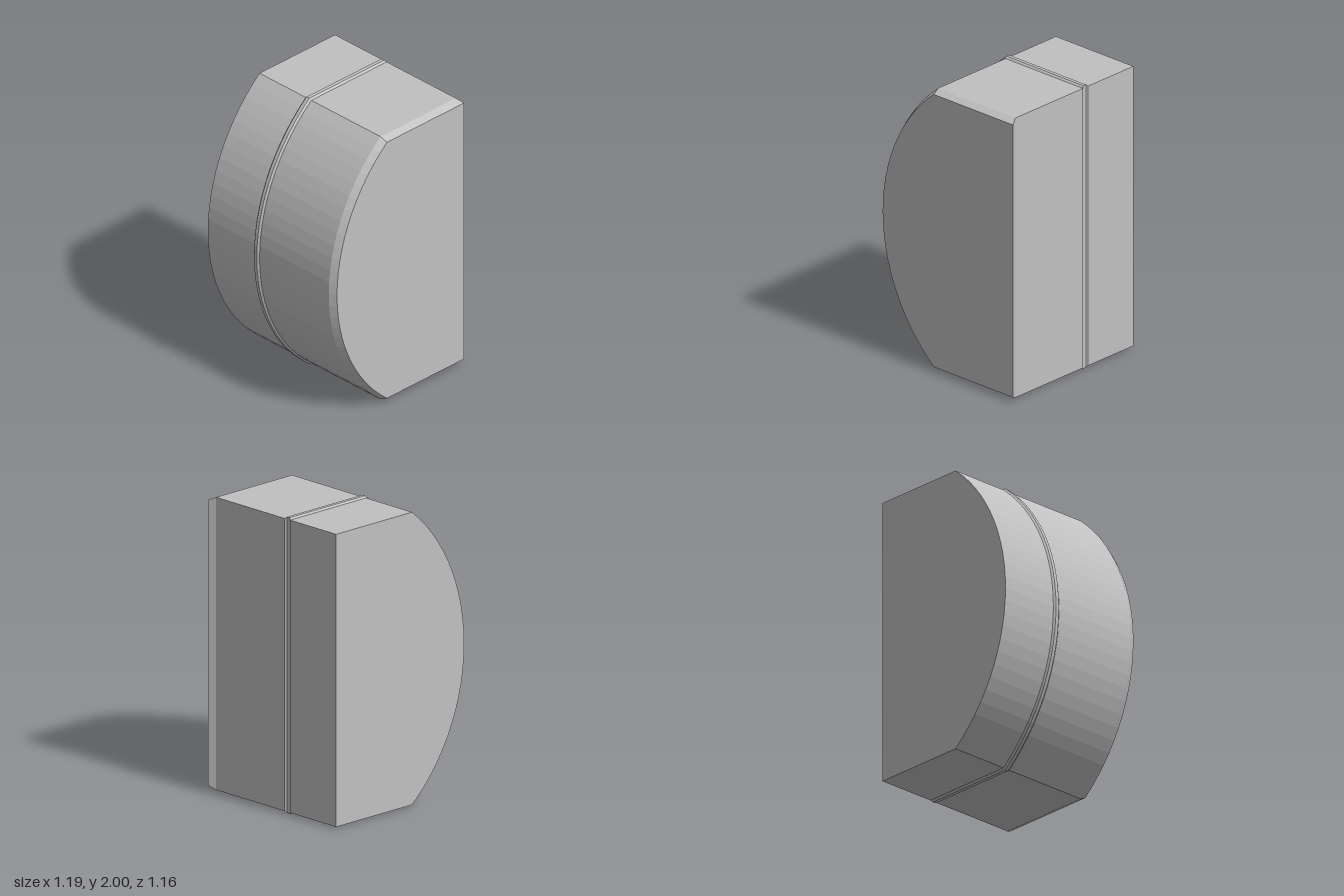
import * as THREE from 'three';

const ARC_STEPS = 26;
const ARC_CENTRE = 0.693;
const ARC_RADIUS = 1.278;
const HALF_HEIGHT = 0.988;

// D-shaped outline, counter-clockwise: flat side, top, curved side, bottom.
// offset grows the curved side, top and bottom; right places the flat side.
function outline({ z, offset, right }) {
  const r = ARC_RADIUS + offset;
  const h = HALF_HEIGHT + offset;
  const half = Math.asin(h / r);
  const points = [[right, 1 - h, z], [right, 1 + h, z]];
  for (let i = 0; i <= ARC_STEPS; i++) {
    const a = half * (1 - (2 * i) / ARC_STEPS);
    points.push([ARC_CENTRE - r * Math.cos(a), 1 + r * Math.sin(a), z]);
  }
  return points;
}

// Joins the outlines, front to back, with flat-shaded walls
function wall(sections) {
  const rings = sections.map(outline);
  const pos = [];
  for (let s = 0; s < rings.length - 1; s++) {
    const front = rings[s], back = rings[s + 1], n = front.length;
    for (let k = 0; k < n; k++) {
      const j = (k + 1) % n;
      pos.push(...front[k], ...back[k], ...back[j], ...front[k], ...back[j], ...front[j]);
    }
  }
  return toGeometry(pos);
}

// Closes one end with a fan of triangles
function cap(section, facesFront) {
  const p = outline(section);
  const pos = [];
  for (let k = 1; k < p.length - 1; k++) {
    pos.push(...p[0], ...(facesFront ? p[k] : p[k + 1]), ...(facesFront ? p[k + 1] : p[k]));
  }
  return toGeometry(pos);
}

function toGeometry(pos) {
  const g = new THREE.BufferGeometry();
  g.setAttribute('position', new THREE.Float32BufferAttribute(pos, 3));
  g.computeVertexNormals();
  return g;
}

export function createModel() {
  const model = new THREE.Group();
  model.name = 'roundedBlock';
  const grey = new THREE.MeshStandardMaterial({ color: 0xc0c0c0 });
  grey.name = 'grey';

  const at = (z, offset = 0, right = 0.565) => ({ z, offset, right });
  const front = at(0.58, -0.025, 0.59);
  const lip = at(0.53);
  const ribFront = at(-0.105);
  const ribBack = at(-0.155);
  const back = at(-0.58);

  const add = (name, geometry) => {
    const mesh = new THREE.Mesh(geometry, grey);
    mesh.name = name;
    model.add(mesh);
  };

  add('frontFace', cap(front, true));
  add('frontBevel', wall([front, lip]));
  add('frontBody', wall([lip, ribFront]));
  // Raised around the curve, sunk into the flat side
  add('seamBand', wall([ribFront, at(-0.118, 0.012, 0.555), at(-0.143, 0.012, 0.555), ribBack]));
  add('rearBody', wall([ribBack, back]));
  add('backFace', cap(back, false));
  return model;
}
